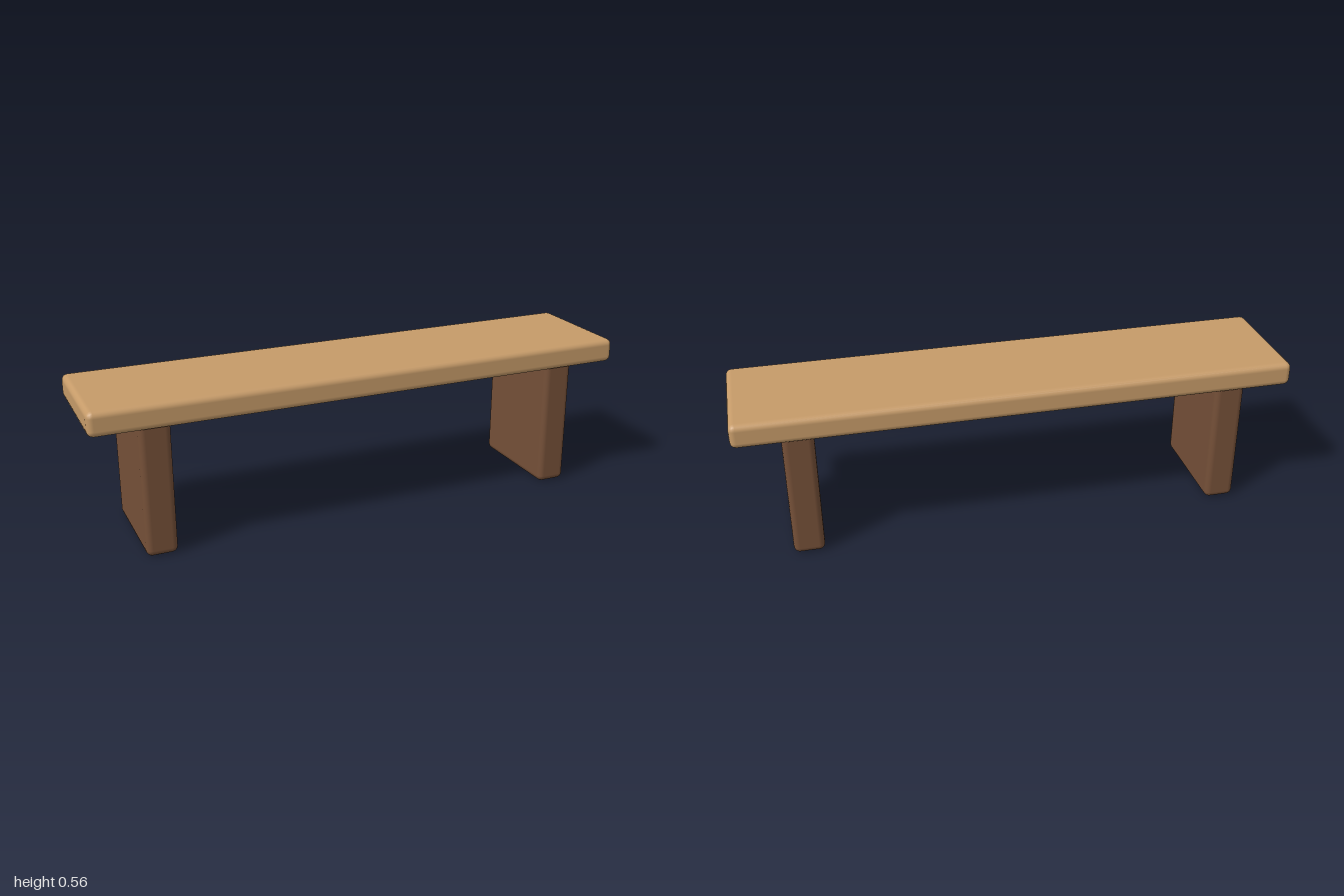
import * as THREE from 'three';
import { RoundedBoxGeometry } from 'three/addons/geometries/RoundedBoxGeometry.js';

const RADIUS = 0.022;

export function createModel() {
  const bench = new THREE.Group();
  bench.name = 'bench';

  const lightWood = new THREE.MeshStandardMaterial({ color: 0xc69b69 });
  lightWood.name = 'lightWood';
  const darkWood = new THREE.MeshStandardMaterial({ color: 0x755038 });
  darkWood.name = 'darkWood';

  // Softly rounded board standing on height y
  function addBoard(name, width, height, depth, x, y, material) {
    const geometry = new RoundedBoxGeometry(width, height, depth, 2, RADIUS);
    const mesh = new THREE.Mesh(geometry, material);
    mesh.name = name;
    mesh.position.set(x, y + height / 2, 0);
    bench.add(mesh);
  }

  // Long seat plank
  addBoard('seat', 2, 0.088, 0.444, 0, 0.468, lightWood);

  // Slab legs, their rounded tops sunk into the seat
  for (const side of [-1, 1]) {
    addBoard(side > 0 ? 'leftLeg' : 'rightLeg', 0.111, 0.49, 0.4, side * 0.778, 0, darkWood);
  }

  return bench;
}
